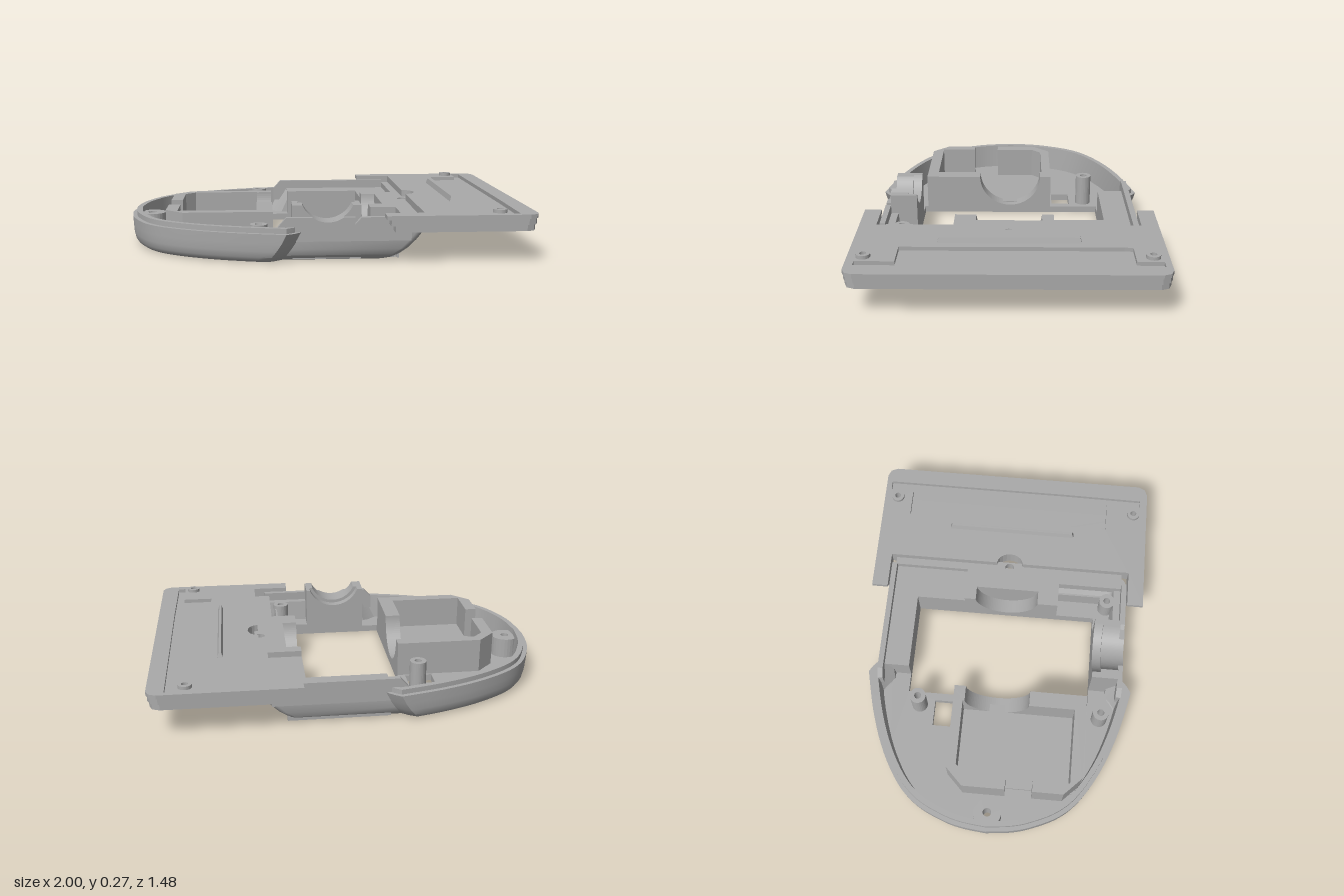
import * as THREE from 'three';
import { toCreasedNormals } from 'three/addons/utils/BufferGeometryUtils.js';

const grey = new THREE.MeshStandardMaterial({ color: 0xaaaaaa });
grey.name = 'grey plastic';
grey.side = THREE.DoubleSide;

const circle = (x, z, r) => new THREE.Path().absarc(x, -z, r, 0, Math.PI * 2);
const poly = (pts) => new THREE.Path(pts.map(([x, z]) => new THREE.Vector2(x, -z)));
const rect = (x0, z0, x1, z1) => poly([[x0, z0], [x1, z0], [x1, z1], [x0, z1]]);

// Horizontal layer from an outline in x, z
function slab(pts, y0, y1, holes = []) {
  const s = new THREE.Shape(pts.map(([x, z]) => new THREE.Vector2(x, -z)));
  s.holes.push(...holes);
  const g = new THREE.ExtrudeGeometry(s, { depth: y1 - y0, bevelEnabled: false, curveSegments: 24 });
  return g.rotateX(-Math.PI / 2).translate(0, y0, 0);
}

// Upright wall in x, y with a round cradle cut into its top edge
function cradle(w0, w1, y0, y1, cy, r, z0, z1) {
  const a = Math.asin(Math.min(1, (cy - y1) / r)), s = new THREE.Shape();
  s.moveTo(w0, y0).lineTo(w1, y0).lineTo(w1, y1).lineTo(r * Math.cos(a), y1);
  s.absarc(0, cy, r, -a, a - Math.PI, true);
  s.lineTo(w0, y1);
  s.closePath();
  return new THREE.ExtrudeGeometry(s, { depth: z1 - z0, bevelEnabled: false, curveSegments: 24 }).translate(0, 0, z0);
}

// Half of the rounded nose, from the tip to the shoulder
const nose = new THREE.SplineCurve([[-1, 0], [-0.985, 0.13], [-0.955, 0.235], [-0.89, 0.37], [-0.79, 0.475],
  [-0.62, 0.575], [-0.42, 0.65], [-0.2, 0.705]].map((p) => new THREE.Vector2(...p)));

// Body outline at height y, drawn in by d, ending at x = xe
function outline(y, d, xe) {
  const half = [], uMax = 0.93 + 0.07 * Math.min(1, y / 0.145);
  for (let i = 0; i <= 30; i++) {
    const p = nose.getPoint(i / 30 * uMax);
    half.push([-0.2 + (p.x + 0.2) * (1 - d / 0.8), p.y * (1 - d / 0.7)]);
  }
  const [lx, lz] = half[30], zm = 0.65 - d * 1.3;
  half.push([lx + 0.035, (lz + zm) / 2 + 0.005], [lx + 0.07, zm]);
  for (let i = 0; i <= 4; i++) {
    const a = i / 4 * Math.PI / 2;
    half.push([xe - 0.04 + 0.04 * Math.sin(a), zm - 0.04 + 0.04 * Math.cos(a)]);
  }
  return [...half, ...half.slice(1).reverse().map(([x, z]) => [x, -z])];
}

// Skin through [height, inset, end] sections
function loft(sections) {
  const rings = sections.map(([y, d, xe]) => outline(y, d, xe).map(([x, z]) => [x, y, z]));
  const n = rings[0].length, pos = [];
  for (let i = 0; i < rings.length - 1; i++) {
    for (let j = 0; j < n; j++) {
      const k = (j + 1) % n, a = rings[i][j], b = rings[i][k], c = rings[i + 1][k], e = rings[i + 1][j];
      pos.push(...a, ...b, ...c, ...a, ...c, ...e);
    }
  }
  const g = new THREE.BufferGeometry();
  g.setAttribute('position', new THREE.Float32BufferAttribute(pos, 3));
  return toCreasedNormals(g, 0.6);
}

export function createModel() {
  const model = new THREE.Group();
  const add = (name, geometry) => {
    const m = new THREE.Mesh(geometry, grey);
    m.name = name;
    model.add(m);
    return m;
  };
  const boss = (name, x, z, y0, y1, r, hole) => {
    const ring = [];
    for (let i = 0; i < 28; i++) ring.push([x + r * Math.cos(i * Math.PI / 14), z + r * Math.sin(i * Math.PI / 14)]);
    add(name, slab(ring, y0, y1, [circle(x, z, hole)]));
  };

  // Tray shell with rounded bottom edge and stepped lip
  add('trayShell', loft([[0, 0.05, 0.25], [0.004, 0.036, 0.285], [0.012, 0.024, 0.315], [0.03, 0.012, 0.35],
    [0.06, 0.005, 0.39], [0.1, 0.002, 0.43], [0.145, 0, 0.465], [0.145, 0.022, 0.46], [0.17, 0.022, 0.46],
    [0.17, 0.05, 0.43], [0.03, 0.06, 0.33]]));
  add('trayFloor', slab(outline(0, 0.05, 0.25), 0, 0.035,
    [rect(-0.26, -0.49, 0.245, 0.485), rect(-0.44, -0.34, -0.3, -0.24), circle(-0.9, 0, 0.022)]));

  // Raised deck around the opening, in three layers
  const deck = (X, y0, y1, holes) => {
    const px = Math.min(0.375, X - 0.01);
    add('deck', slab([[-0.16, -0.63], [X, -0.63], [X, 0.62], [px, 0.62], [px, 0.28], [0.245, 0.28], [0.245, 0.17],
      [0.32, 0.17], [0.32, -0.17], [0.245, -0.17], [0.245, -0.49], [-0.16, -0.49]], y0, y1, holes));
  };
  deck(0.345, 0.01, 0.15, []);
  deck(0.475, 0.15, 0.17, [circle(0.45, 0, 0.024)]);
  add('deckTop', slab([[0.42, -0.63], [0.48, -0.63], [0.48, 0.62], [0.375, 0.62], [0.375, 0.28], [0.245, 0.28],
    [0.245, 0.17], [0.32, 0.17], [0.32, -0.17], [0.245, -0.17], [0.245, -0.23], [0.42, -0.23]],
    0.17, 0.2, [circle(0.45, 0, 0.024)]));
  add('pocketFloor', slab([[0.245, 0.28], [0.34, 0.28], [0.34, 0.6], [0.16, 0.6], [0.16, 0.485], [0.245, 0.485]], 0.01, 0.06));

  // Side walls of the narrow middle part
  const wall = (x0, x1) => {
    const s = new THREE.Shape([[x0, 0.1], [x1, 0.1], [x1, 0.215], [x0 + 0.04, 0.215], [x0, 0.17]]
      .map((p) => new THREE.Vector2(...p)));
    return new THREE.ExtrudeGeometry(s, { depth: 0.028, bevelEnabled: false });
  };
  add('backWall', wall(-0.24, 0.42)).position.z = -0.65;
  add('frontWallLeft', wall(0.12, 0.4)).position.z = 0.622;
  add('frontWallRight', wall(-0.24, -0.12)).position.z = 0.622;
  add('frontWallMiddle', cradle(-0.13, 0.13, 0.1, 0.215, 0.325, 0.133, 0.622, 0.65));

  // Round cradles on three sides of the opening
  add('frontCradleInner', cradle(-0.17, 0.16, 0.01, 0.27, 0.325, 0.15, 0.485, 0.53));
  add('frontCradleOuter', cradle(-0.17, 0.16, 0.01, 0.27, 0.325, 0.133, 0.53, 0.622));
  add('rightCradle', cradle(-0.47, 0.23, 0.01, 0.215, 0.215, 0.17, -0.34, -0.26).rotateY(Math.PI / 2));
  add('leftCradle', cradle(-0.28, 0.23, 0.01, 0.2, 0.215, 0.17, 0.245, 0.33).rotateY(Math.PI / 2));

  // Walled compartment in the nose
  add('compartmentBackWall', slab([[-0.79, 0.08], [-0.79, -0.14], [-0.7, -0.23], [-0.27, -0.23], [-0.27, -0.18],
    [-0.68, -0.18], [-0.73, -0.13], [-0.73, 0.08]], 0.02, 0.215));
  add('compartmentFrontWall', slab([[-0.79, 0.22], [-0.79, 0.38], [-0.7, 0.47], [-0.27, 0.47], [-0.27, 0.41],
    [-0.73, 0.41], [-0.73, 0.22]], 0.02, 0.215));
  add('compartmentFloor', slab([[-0.75, -0.12], [-0.68, -0.2], [-0.3, -0.2], [-0.3, 0.43], [-0.75, 0.43]], 0.02, 0.05));

  // Screw posts
  boss('nosePost', -0.9, 0, 0.02, 0.14, 0.073, 0.022);
  boss('backPost', -0.33, -0.42, 0.02, 0.2, 0.042, 0.018);
  boss('frontPost', -0.33, 0.55, 0.02, 0.17, 0.042, 0.018);
  boss('pocketPost', 0.31, 0.55, 0.05, 0.17, 0.042, 0.018);

  // End plate: underside rim, panel and recessed top layer
  const plate = (x0, x1, zo) => {
    const pts = [[x0, -zo], [x1 - 0.05, -zo], [x1 - 0.015, -zo + 0.015], [x1, -zo + 0.05],
      [x1, zo - 0.05], [x1 - 0.015, zo - 0.015], [x1 - 0.05, zo], [x0, zo], [x0, 0.655], [0.46, 0.655]];
    for (let i = 0; i <= 10; i++) {
      const a = Math.PI / 2 - i / 10 * Math.PI;
      pts.push([0.46 + 0.055 * Math.cos(a), 0.07 * Math.sin(a)]);
    }
    return [...pts, [0.46, -0.655], [x0, -0.655]];
  };
  const screws = () => [circle(0.82, -0.665, 0.016), circle(0.82, 0.665, 0.016)];
  add('plateRim', slab(plate(0.31, 0.987, 0.733), 0.155, 0.185, [rect(0.53, -0.705, 0.96, 0.705)]));
  add('platePanel', slab(plate(0.29, 0.994, 0.737), 0.185, 0.215, screws()));
  add('plateTop', slab(plate(0.27, 1, 0.74), 0.215, 0.235, [...screws(),
    poly([[0.715, -0.545], [0.72, -0.585], [0.865, -0.585], [0.865, -0.71], [0.915, -0.71], [0.915, 0.27],
      [0.91, 0.7], [0.87, 0.7], [0.87, 0.515], [0.715, 0.515]])]));
  for (const z of [-0.665, 0.665]) boss('plateBoss', 0.82, z, 0.23, 0.252, 0.034, 0.016);

  // Narrow tapered ridge across the plate
  const ridge = new THREE.BoxGeometry(0.03, 0.032, 0.69);
  const p = ridge.attributes.position;
  for (let i = 0; i < p.count; i++) {
    if (p.getY(i) > 0) p.setXYZ(i, p.getX(i) * 0.4, p.getY(i), p.getZ(i) * 0.97);
  }
  ridge.computeVertexNormals();
  add('plateRidge', ridge).position.set(0.66, 0.246, -0.005);

  return model;
}
